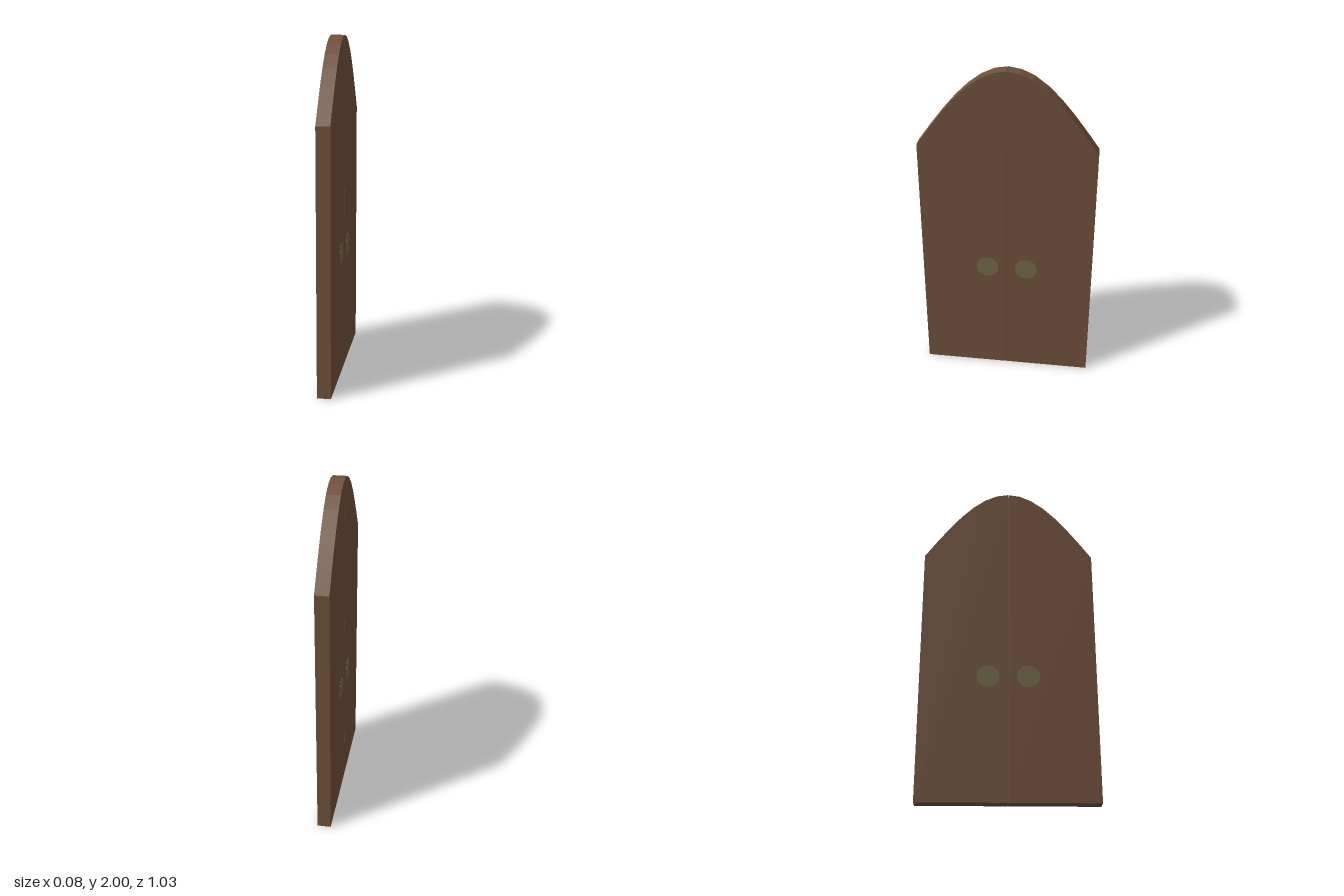
import * as THREE from 'three';

const HALF_WIDTH = 0.515, SPRING = 1.54, RISE = 0.46, THICK = 0.08, GAP = 0.001, STEPS = 7;

export function createModel() {
  const model = new THREE.Group();
  model.name = 'archedDoubleDoor';
  const wood = new THREE.MeshStandardMaterial({ color: 0x70503a });
  wood.name = 'brown wood';
  const brass = new THREE.MeshStandardMaterial({ color: 0x726846 });
  brass.name = 'dull brass';

  for (const side of [1, -1]) {
    const leaf = new THREE.Group();
    leaf.name = side > 0 ? 'frontLeaf' : 'rearLeaf';

    // Half-arch panel, drawn in the z-y plane with a cosine top
    const shape = new THREE.Shape();
    shape.moveTo(side * GAP, 0);
    shape.lineTo(side * HALF_WIDTH, 0);
    for (let i = STEPS; i >= 0; i--) {
      const z = Math.max(GAP, (HALF_WIDTH * i) / STEPS);
      shape.lineTo(side * z, SPRING + RISE * Math.cos((Math.PI / 2) * (i / STEPS)));
    }
    const geometry = new THREE.ExtrudeGeometry(shape, { depth: THICK, bevelEnabled: false });
    geometry.translate(0, 0, -THICK / 2);
    geometry.rotateY(-Math.PI / 2); // shape x becomes z
    const panel = new THREE.Mesh(geometry, wood);
    panel.name = 'panel';
    leaf.add(panel);

    // Flat round handle plate on each face
    for (const face of [1, -1]) {
      const plate = new THREE.Mesh(new THREE.CylinderGeometry(0.067, 0.067, 0.002, 32), brass);
      plate.name = 'handlePlate';
      plate.rotation.z = Math.PI / 2;
      plate.position.set(face * (THICK / 2 + 0.0005), 0.74, side * 0.118);
      leaf.add(plate);
    }
    model.add(leaf);
  }
  return model;
}
